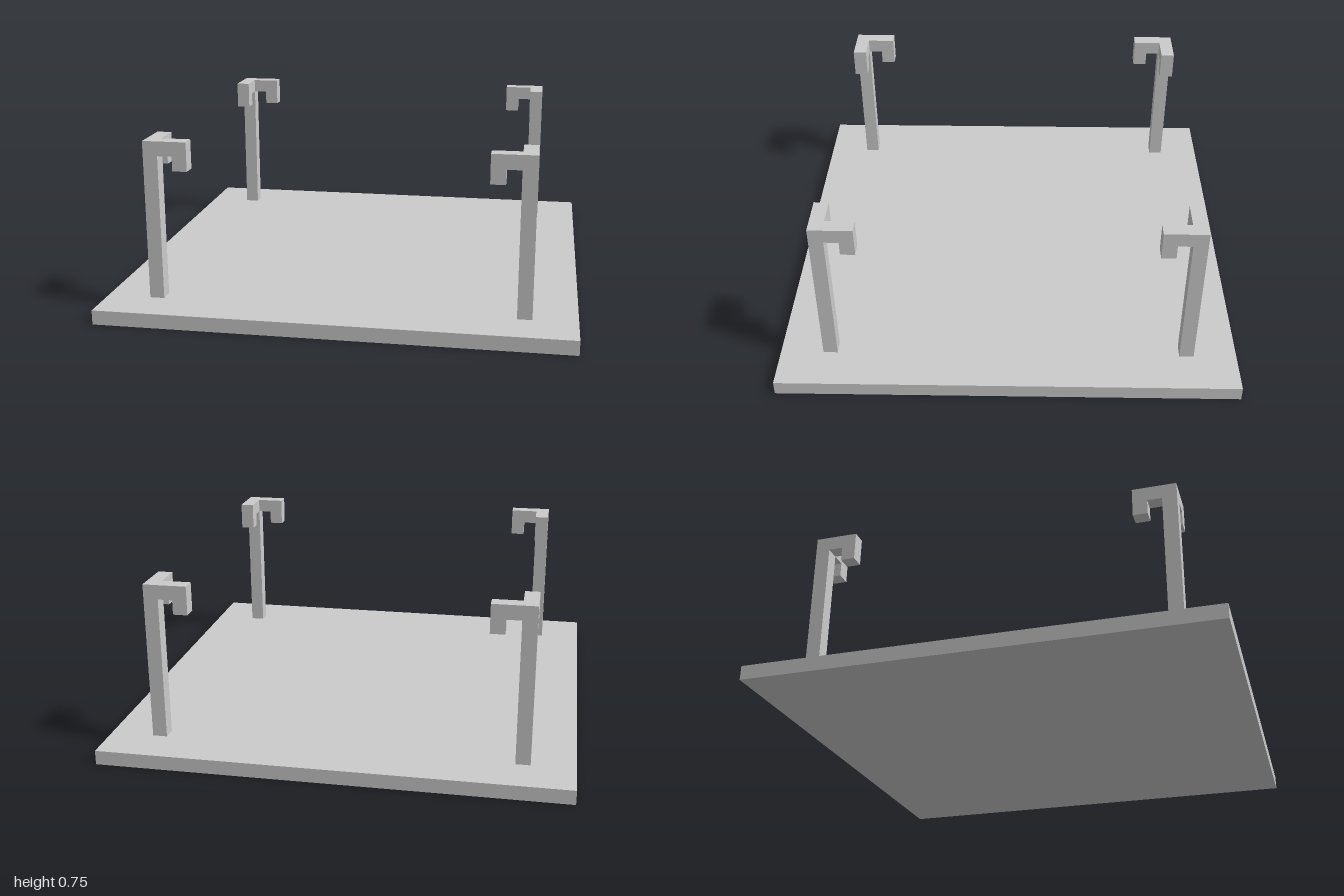
import * as THREE from 'three';

const U = 0.0625; // base thickness and bar width
const material = new THREE.MeshStandardMaterial({ color: 0xcccccc, flatShading: true });

// Box given by its lower and upper corners, in bar widths
function bar(name, [x0, y0, z0], [x1, y1, z1]) {
  const geometry = new THREE.BoxGeometry((x1 - x0) * U, (y1 - y0) * U, (z1 - z0) * U);
  geometry.translate((x0 + x1) * U / 2, (y0 + y1) * U / 2, (z0 + z1) * U / 2);
  const mesh = new THREE.Mesh(geometry, material);
  mesh.name = name;
  return mesh;
}

// Corner post at +x +z, with one hook reaching inward along x and one along z
function hookedPost(name) {
  const post = new THREE.Group();
  post.name = name;
  post.add(
    bar('post', [12, 1, 12], [13, 12, 13]),
    bar('armX', [10, 11, 12], [12, 12, 13]),
    bar('hookTipX', [10, 10, 12], [11, 11, 13]),
    bar('armZ', [12, 11, 10], [13, 12, 12]),
    bar('hookTipZ', [12, 10, 10], [13, 11, 11])
  );
  return post;
}

export function createModel() {
  const model = new THREE.Group();
  model.name = 'hookedPostPlatform';

  // Square base plate
  model.add(bar('basePlate', [-16, 0, -16], [16, 1, 16]));

  // Same post turned to each corner
  ['frontLeftPost', 'backLeftPost', 'backRightPost', 'frontRightPost'].forEach((name, i) => {
    const post = hookedPost(name);
    post.rotation.y = i * Math.PI / 2;
    model.add(post);
  });
  return model;
}
